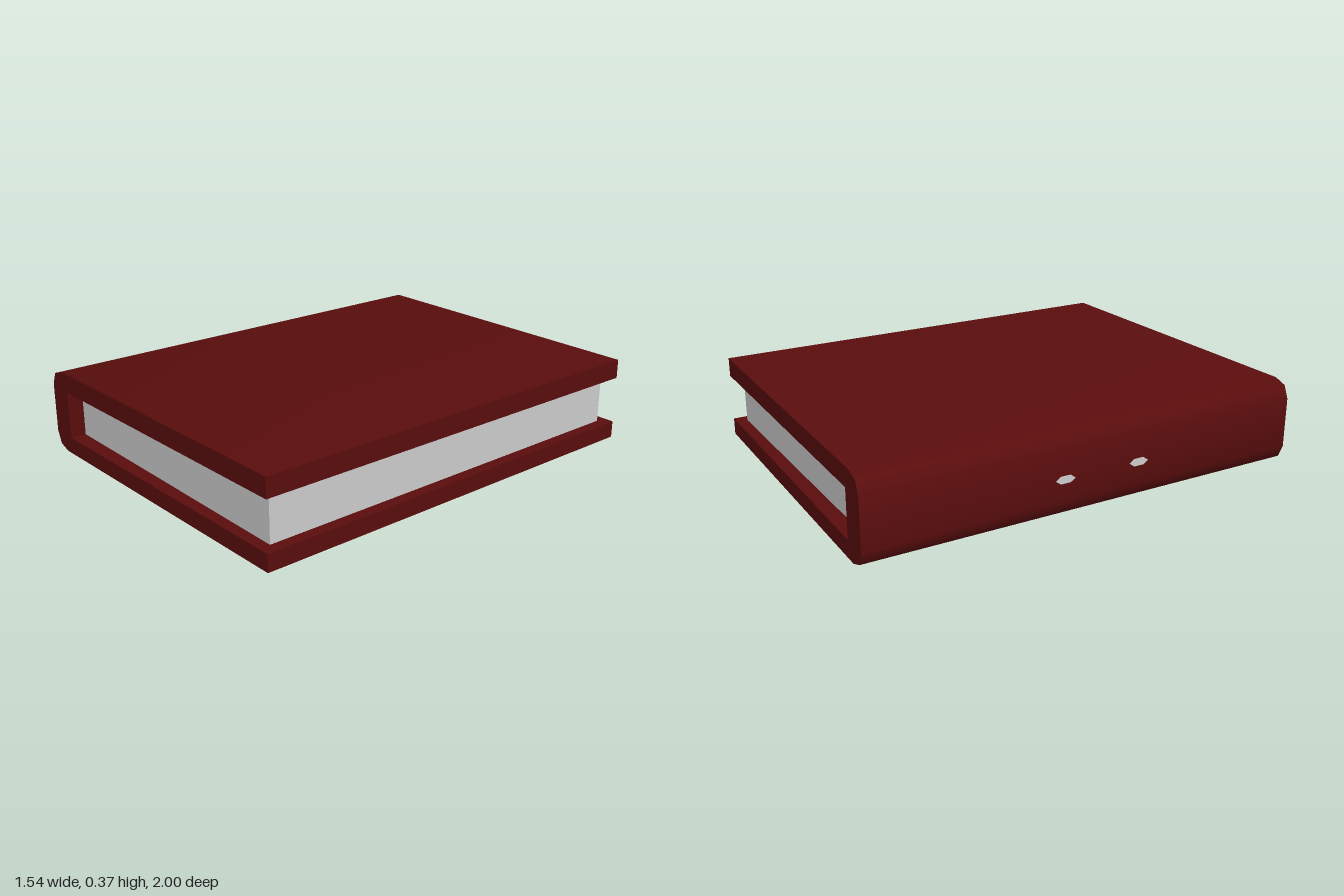
import * as THREE from 'three';
import { toCreasedNormals } from 'three/addons/utils/BufferGeometryUtils.js';

export function createModel() {
  const book = new THREE.Group();
  book.name = 'book';

  const leather = new THREE.MeshStandardMaterial({ color: 0x5a0d0d });
  leather.name = 'dark red cover';
  const paper = new THREE.MeshStandardMaterial({ color: 0xcccccc });
  paper.name = 'pale grey paper';

  const add = (name, geometry, material, x = 0, y = 0, z = 0) => {
    const mesh = new THREE.Mesh(geometry, material);
    mesh.name = name;
    mesh.position.set(x, y, z);
    book.add(mesh);
    return mesh;
  };

  // Cover: C-shaped section with a rounded spine, extruded along z
  const profile = [
    [-0.69, 0], [0.765, 0], [0.765, 0.075], [-0.645, 0.075],
    [-0.645, 0.285], [0.765, 0.285], [0.765, 0.37], [-0.69, 0.37],
    [-0.745, 0.35], [-0.768, 0.295], [-0.768, 0.075], [-0.745, 0.02],
  ].map(([x, y]) => new THREE.Vector2(x, y));
  const cover = new THREE.ExtrudeGeometry(new THREE.Shape(profile), { depth: 2, bevelEnabled: false });
  cover.translate(0, 0, -1);

  // The boards narrow slightly away from the spine
  const p = cover.attributes.position;
  for (let i = 0; i < p.count; i++) {
    p.setZ(i, p.getZ(i) * (1 - 0.022 * (p.getX(i) + 0.768) / 1.533));
  }
  add('cover', toCreasedNormals(cover, 0.9), leather);

  // Page block, recessed between the boards
  add('pages', new THREE.BoxGeometry(1.359, 0.21, 1.86), paper, 0.0355, 0.18, 0);

  // Two small pale flecks on the spine
  for (const z of [-0.14, 0.21]) {
    const fleck = add('spineFleck', new THREE.CylinderGeometry(0.03, 0.03, 0.004, 6), paper, -0.769, 0.17, z);
    fleck.rotation.z = Math.PI / 2;
    fleck.scale.set(0.6, 1, 1.5);
  }

  return book;
}
